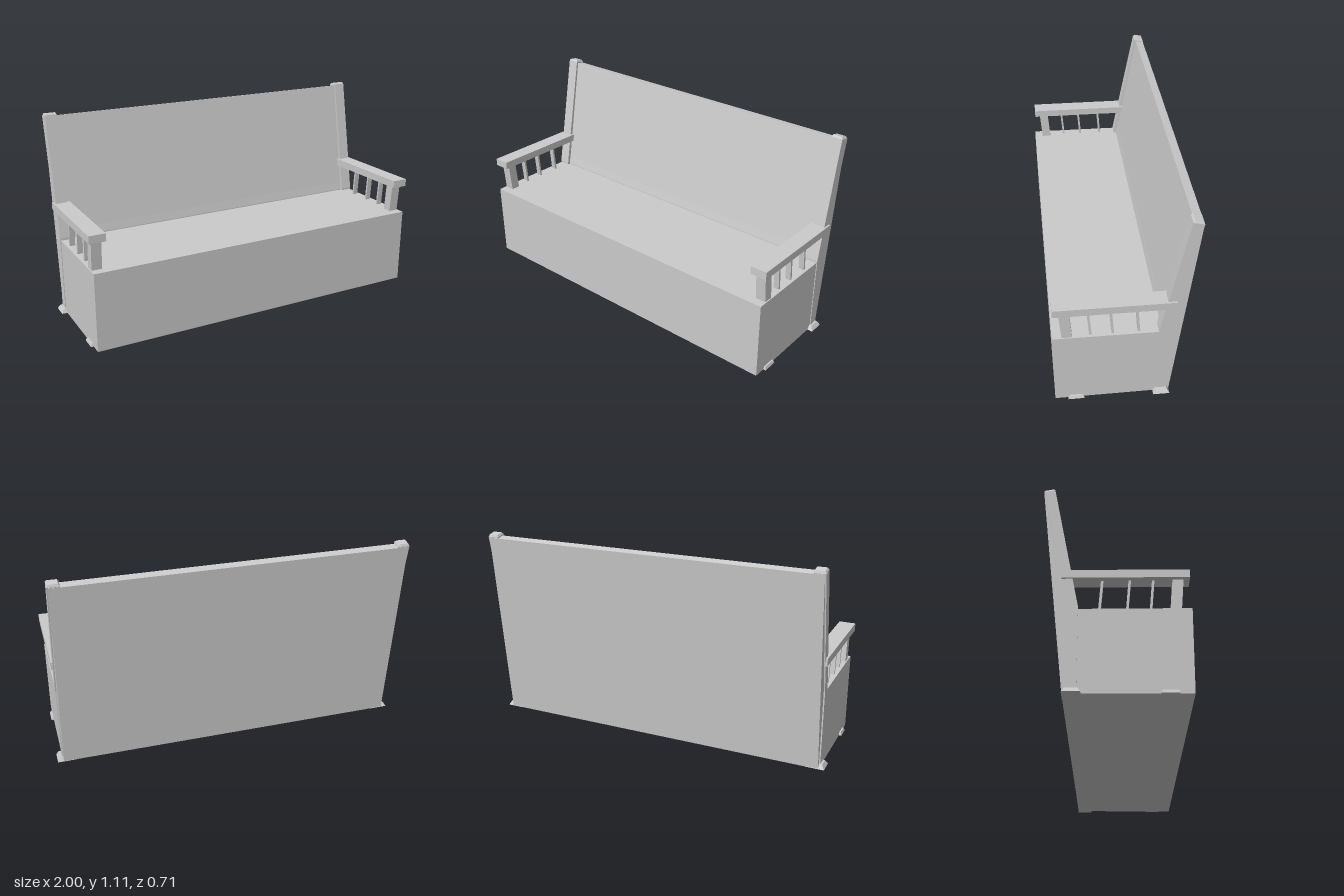
import * as THREE from 'three';

const material = new THREE.MeshStandardMaterial({ color: 0xcccccc, flatShading: true });

// Side profile of [z, y] points, extruded along x between x0 and x1.
function profile(name, points, x0, x1) {
  const shape = new THREE.Shape(points.map(([z, y]) => new THREE.Vector2(z, y)));
  const geometry = new THREE.ExtrudeGeometry(shape, { depth: x1 - x0, bevelEnabled: false });
  geometry.rotateY(-Math.PI / 2).translate(x1, 0, 0);
  const mesh = new THREE.Mesh(geometry, material);
  mesh.name = name;
  return mesh;
}

// Block standing on its origin, with its top face drawn in by inset.
function taperedBlock(name, w, h, d, inset) {
  const geometry = new THREE.BoxGeometry(w, h, d).translate(0, h / 2, 0);
  const p = geometry.attributes.position;
  for (let i = 0; i < p.count; i++) {
    if (p.getY(i) > h / 2) {
      p.setX(i, p.getX(i) * (1 - (2 * inset) / w));
      p.setZ(i, p.getZ(i) * (1 - (2 * inset) / d));
    }
  }
  geometry.computeVertexNormals();
  const mesh = new THREE.Mesh(geometry, material);
  mesh.name = name;
  return mesh;
}

// Upright leaning slightly forward, between the seat and the armrest.
function leaningUpright(name, z, depth, x0, x1) {
  const lean = 0.014;
  return profile(name, [
    [z - depth / 2, 0.425], [z + depth / 2, 0.425],
    [z + depth / 2 + lean, 0.6], [z - depth / 2 + lean, 0.6],
  ], x0, x1);
}

// One end of the bench: s = 1 is the left side, s = -1 the right side.
function createEnd(s) {
  const end = new THREE.Group();
  end.name = s > 0 ? 'leftEnd' : 'rightEnd';
  const span = (a, b) => (s > 0 ? [a, b] : [-b, -a]);

  // Rear post: vertical up to the seat, then leaning back
  end.add(profile('rearPost', [
    [-0.225, 0], [-0.175, 0], [-0.175, 0.44],
    [-0.3, 1.102], [-0.355, 1.09], [-0.225, 0.44],
  ], ...span(0.91, 0.975)));

  const cap = taperedBlock('postCap', 0.065, 0.012, 0.055, 0.007);
  cap.position.set(s * 0.9425, 1.096, -0.3275);
  cap.rotation.x = -0.21;
  end.add(cap);

  // Armrest with its supports
  end.add(profile('armrest', [
    [-0.255, 0.588], [0.35, 0.592], [0.35, 0.634], [-0.255, 0.63],
  ], ...span(0.895, 0.985)));
  end.add(leaningUpright('armPost', 0.281, 0.052, ...span(0.91, 0.965)));
  for (const z of [0.164, 0.053, -0.077]) {
    end.add(leaningUpright('spindle', z, 0.012, ...span(0.925, 0.955)));
  }

  // Feet
  const rearFoot = taperedBlock('rearFoot', 0.1, 0.024, 0.086, 0.014);
  rearFoot.position.set(s * 0.95, 0, -0.1985);
  const frontFoot = taperedBlock('frontFoot', 0.08, 0.017, 0.084, 0.006);
  frontFoot.position.set(s * 0.945, 0, 0.243);
  end.add(rearFoot, frontFoot);
  return end;
}

export function createModel() {
  const bench = new THREE.Group();
  bench.name = 'storageBench';

  // Closed chest under the seat
  bench.add(profile('seatChest', [
    [-0.2, 0.001], [0.352, 0.001], [0.356, 0.433], [-0.2, 0.428],
  ], -0.971, 0.971));

  // Backrest: wedge-shaped behind the posts, with a low kick strip at the seat
  bench.add(profile('backPanel', [
    [-0.19, 0], [-0.19, 0.433], [-0.2, 0.48], [-0.31, 1.094], [-0.355, 1.085], [-0.24, 0],
  ], -0.911, 0.911));
  for (const s of [1, -1]) {
    bench.add(profile('backPanelEdge', [
      [-0.24, 0], [-0.22, 0], [-0.22, 0.44], [-0.35, 1.088], [-0.355, 1.085],
    ], s > 0 ? 0.911 : -0.968, s > 0 ? 0.968 : -0.911));
    bench.add(createEnd(s));
  }
  return bench;
}
